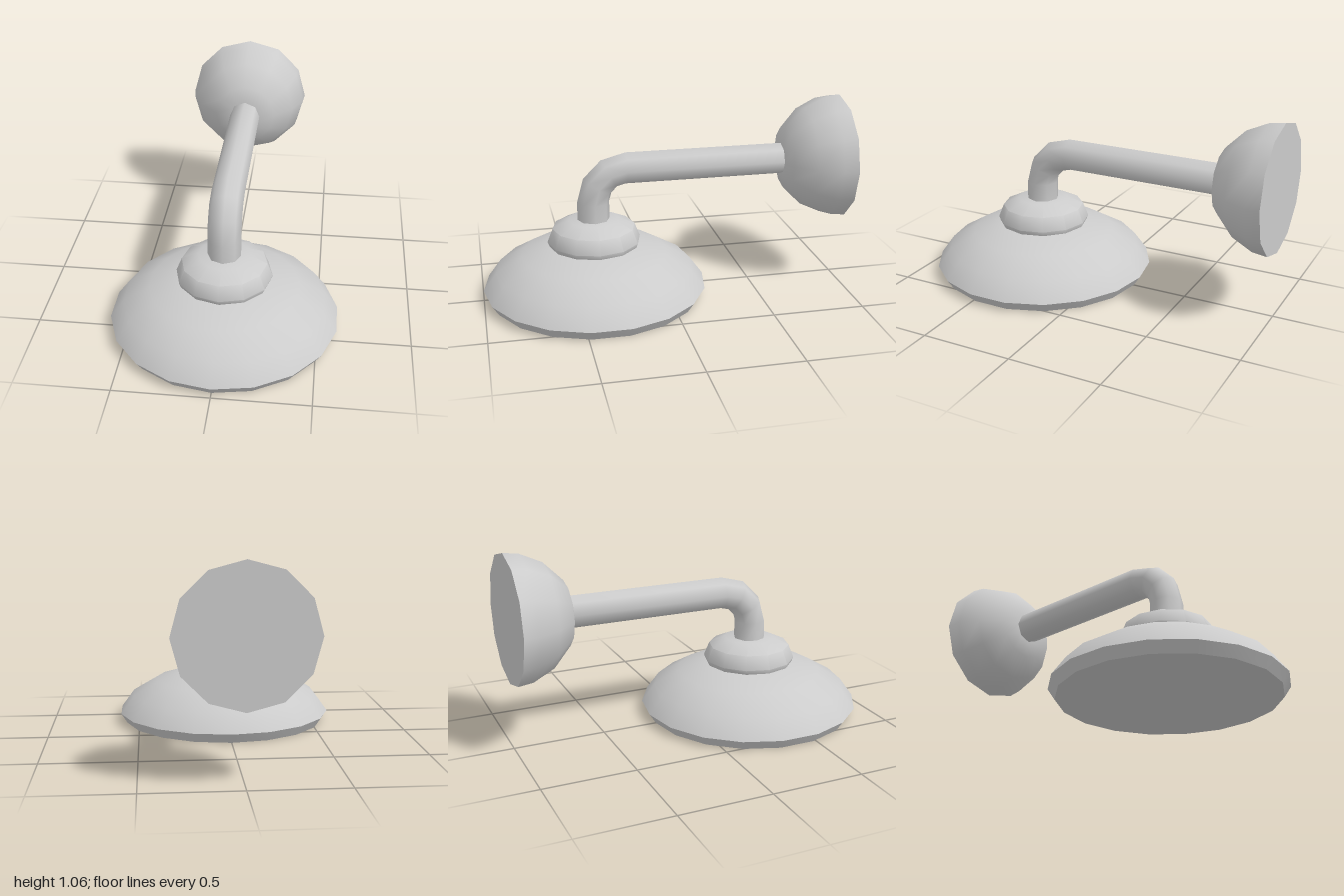
import * as THREE from 'three';
import { toCreasedNormals } from 'three/addons/utils/BufferGeometryUtils.js';

const material = new THREE.MeshStandardMaterial({ color: 0xcccccc });

// Turned part from [radius, height] pairs, smooth except at sharp rims
function turned(name, profile, sides) {
  const points = profile.map(([r, y]) => new THREE.Vector2(r, y));
  const geometry = toCreasedNormals(new THREE.LatheGeometry(points, sides), 0.78);
  const mesh = new THREE.Mesh(geometry, material);
  mesh.name = name;
  return mesh;
}

// Eight-sided pipe: rises from the head, bends in three steps, runs back to the wall
function makePipe() {
  const radius = 0.088, bend = 0.18, bendY = 0.53, bendZ = 0.205;
  const rows = [[0.4, bendZ + bend, 0]];
  for (let i = 0; i <= 3; i++) {
    const a = (i * Math.PI) / 6;
    rows.push([bendY + bend * Math.sin(a), bendZ + bend * Math.cos(a), a]);
  }
  rows.push([bendY + bend, -0.7, Math.PI / 2]);

  const steps = rows.length - 1;
  const geometry = new THREE.CylinderGeometry(radius, radius, 1, 8, steps, true);
  const pos = geometry.attributes.position;
  for (let i = 0; i < pos.count; i++) {
    const [y, z, a] = rows[Math.round((pos.getY(i) + 0.5) * steps)];
    const out = pos.getZ(i);
    pos.setXYZ(i, pos.getX(i), y + out * Math.sin(a), z + out * Math.cos(a));
  }
  const mesh = new THREE.Mesh(toCreasedNormals(geometry, Math.PI / 3), material);
  mesh.name = 'pipe';
  return mesh;
}

export function createModel() {
  const model = new THREE.Group();
  model.name = 'showerHead';

  // Wide spray head with a flat underside
  const head = turned('sprayHead', [
    [0, 0], [0.578, 0], [0.614, 0.055], [0.54, 0.157], [0.4, 0.24], [0.24, 0.29], [0, 0.29],
  ], 18);
  head.position.z = 0.385;

  // Collar joining head and pipe
  const collar = turned('collar', [
    [0, 0.29], [0.246, 0.29], [0.256, 0.315], [0.226, 0.39], [0.138, 0.432], [0, 0.432],
  ], 12);
  collar.position.z = 0.385;

  // Domed wall mount with a flat back
  const mount = turned('wallMount', [
    [0, 0], [0.346, 0], [0.336, 0.08], [0.28, 0.2], [0.175, 0.305], [0.09, 0.33], [0, 0.33],
  ], 12);
  mount.rotation.x = Math.PI / 2;
  mount.position.set(0, 0.71, -1);

  model.add(head, collar, makePipe(), mount);
  return model;
}
